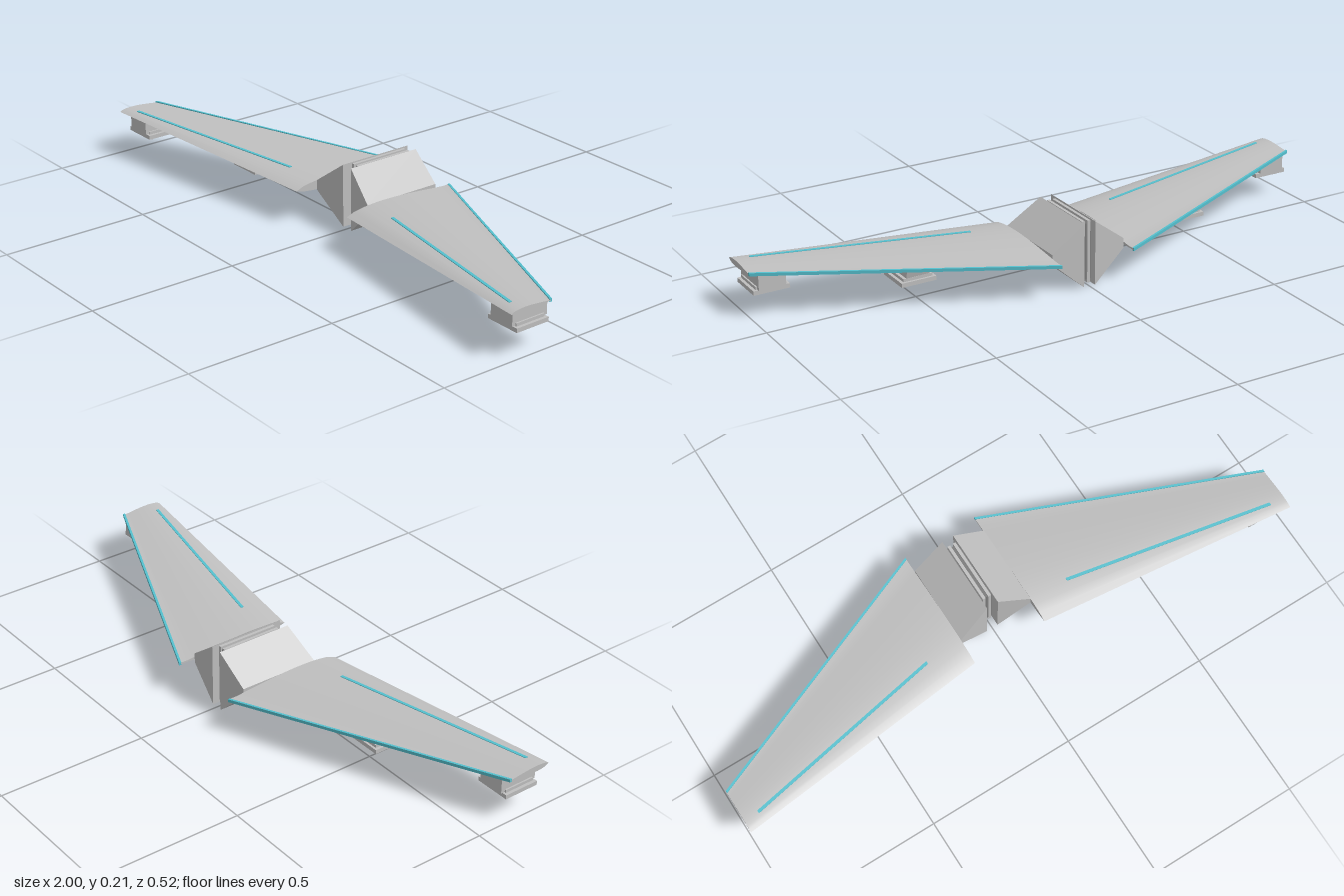
import * as THREE from 'three';
import { toCreasedNormals } from 'three/addons/utils/BufferGeometryUtils.js';

const mat = (name, color) => new THREE.MeshStandardMaterial({ name, color });
const lerp = THREE.MathUtils.lerp;

// Closed solid between two [z, y] rings (front, over the top, to the back, underneath)
function loft(x0, ring0, x1, ring1) {
  if (x0 > x1) [x0, ring0, x1, ring1] = [x1, ring1, x0, ring0];
  const pos = [], n = ring0.length;
  const A = i => [x0, ring0[i % n][1], ring0[i % n][0]];
  const B = i => [x1, ring1[i % n][1], ring1[i % n][0]];
  const tri = (...p) => p.forEach(q => pos.push(...q));
  for (let i = 0; i < n; i++) {
    tri(A(i), B(i), A(i + 1));
    tri(B(i), B(i + 1), A(i + 1));
    if (i > 0 && i < n - 1) {
      tri(A(0), A(i), A(i + 1));
      tri(B(0), B(i + 1), B(i));
    }
  }
  const g = new THREE.BufferGeometry();
  g.setAttribute('position', new THREE.Float32BufferAttribute(pos, 3));
  return toCreasedNormals(g, 0.5);
}

const rect = (zf, zb, y0, y1) => [[zf, y0], [zf, y1], [zb, y1], [zb, y0]];

// Wing layout: root at x = 0.13, tip at x = 1, swept forward
const ROOT = 0.13;
const station = x => {
  const t = (x - ROOT) / (1 - ROOT);
  return {
    front: lerp(0.155, 0.26, t), back: lerp(-0.26, 0.11, t),
    y: lerp(0.113, 0.148, t), up: lerp(0.02, 0.009, t), down: lerp(0.015, 0.011, t),
  };
};
const bulge = u => Math.max(Math.sin(Math.PI * Math.pow(u, 0.65)), u > 0.5 ? 0.16 : 0);
const topY = (x, z) => {
  const s = station(x);
  return s.y + s.up * bulge((s.front - z) / (s.front - s.back));
};
function airfoil(x, steps = 14) {
  const s = station(x), ring = [];
  for (let i = 0; i <= steps; i++)
    ring.push([lerp(s.front, s.back, i / steps), s.y + s.up * bulge(i / steps)]);
  for (let i = steps; i > 0; i--)
    ring.push([lerp(s.front, s.back, i / steps), s.y - s.down * bulge(i / steps)]);
  return ring;
}

export function createModel() {
  const model = new THREE.Group();
  model.name = 'wingAssembly';
  const grey = mat('hull grey', 0xbfbfbf);
  const coreGrey = mat('core grey', 0x7a7a7a);
  const cyan = mat('cyan trim', 0x55c0ce);

  const add = (parent, name, geometry, material, x = 0, y = 0, z = 0) => {
    const m = new THREE.Mesh(geometry, material);
    m.name = name;
    m.position.set(x, y, z);
    parent.add(m);
  };
  const box = (parent, name, material, w, h, d, x, y, z) =>
    add(parent, name, new THREE.BoxGeometry(w, h, d), material, x, y, z);

  // Centre joint: darker core between two thin plates
  box(model, 'hubCore', coreGrey, 0.042, 0.19, 0.2, 0, 0.107, -0.085);
  for (const s of [-1, 1])
    box(model, 'hubPlate', grey, 0.01, 0.21, 0.21, s * 0.01, 0.107, -0.085);

  for (const s of [-1, 1]) {
    const side = new THREE.Group();
    side.name = s > 0 ? 'leftSide' : 'rightSide';
    model.add(side);

    // Wedge tapering from the centre joint to the wing root
    add(side, 'hubWedge', loft(s * 0.02, rect(0.052, -0.212, 0, 0.214),
      s * ROOT, rect(0.073, -0.203, 0.098, 0.131)), grey);

    add(side, 'wing', loft(s * ROOT, airfoil(ROOT), s, airfoil(1)), grey);

    // Trim along the trailing edge
    const edge = x => {
      const e = station(x);
      return rect(e.back + 0.005, e.back - 0.003, e.y - 0.005, e.y + 0.005);
    };
    add(side, 'trailingEdgeTrim', loft(s * ROOT, edge(ROOT), s, edge(1)), cyan);

    // Thin stripe following the upper surface
    const stripe = x => {
      const z = lerp(0.08, 0.218, (x - 0.26) / 0.69), y = topY(x, z);
      return rect(z + 0.005, z - 0.005, y - 0.003, y + 0.002);
    };
    for (let i = 0; i < 8; i++) {
      const a = 0.26 + 0.69 * i / 8, b = 0.26 + 0.69 * (i + 1) / 8;
      add(side, 'wingStripe', loft(s * a, stripe(a), s * b, stripe(b)), cyan);
    }

    // Pods under the wing: body, collar, wide base with a raised panel and small feet
    const pods = [
      { name: 'outerPod', x: 0.93, z: 0.167, base: 0.077, w: 0.09,
        body: [[0.232, 0.092], [0.232, 0.143], [0.1, 0.143], [0.1, 0.092]] },
      { name: 'innerPod', x: 0.5, z: 0.034, base: 0.053, w: 0.08,
        body: [[0.085, 0.068], [0.1, 0.12], [-0.03, 0.12], [-0.016, 0.068]] },
    ];
    for (const p of pods) {
      const pod = new THREE.Group();
      pod.name = p.name;
      side.add(pod);
      const x = s * p.x;
      add(pod, 'podBody', loft(x - p.w / 2, p.body, x + p.w / 2, p.body), grey);
      box(pod, 'podCollar', grey, 0.1, 0.012, 0.106, x, p.base + 0.018, p.z);
      box(pod, 'podBase', grey, 0.12, 0.014, 0.121, x, p.base + 0.007, p.z);
      box(pod, 'basePanel', grey, 0.1, 0.003, 0.1, x, p.base - 0.0005, p.z);
      for (const dx of [-0.037, 0.037])
        for (const dz of [-0.037, 0.037])
          add(pod, 'podFoot', new THREE.CylinderGeometry(0.006, 0.006, 0.009, 12),
            grey, x + dx, p.base - 0.0045, p.z + dz);
    }
  }
  return model;
}
